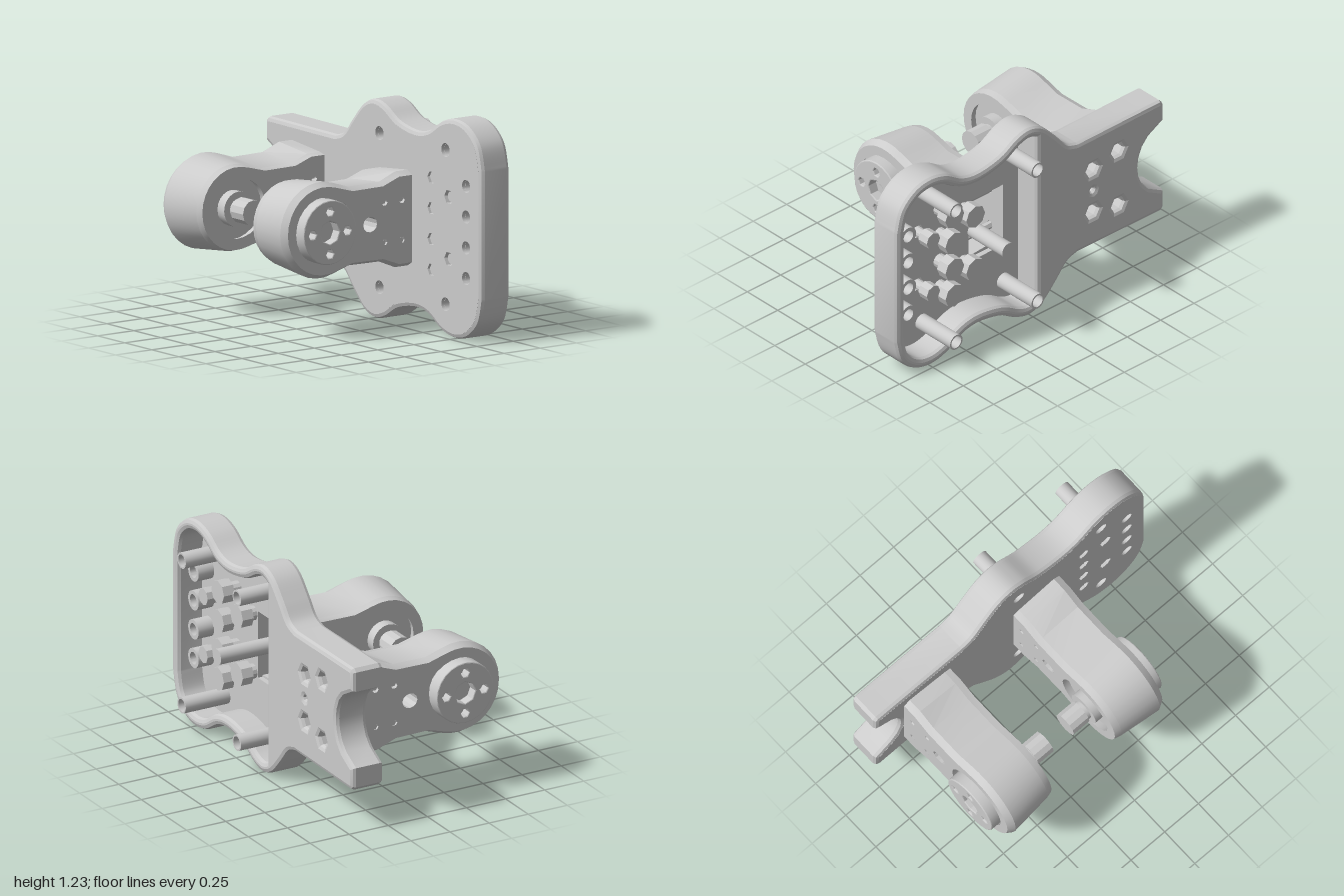
import * as THREE from 'three';
import { toCreasedNormals } from 'three/addons/utils/BufferGeometryUtils.js';

const mat = new THREE.MeshStandardMaterial({ color: 0xcccccc });
const V = (x, y) => new THREE.Vector2(x, y);

function add(parent, name, geo) {
  const m = new THREE.Mesh(toCreasedNormals(geo, 0.36), mat);
  m.name = name;
  parent.add(m);
}

// Polygon path of a circle (or hexagon with n = 6)
function ring(x, y, r, n = 12) {
  const p = [];
  for (let i = 0; i < n; i++) {
    const a = (i / n) * Math.PI * 2;
    p.push(V(x + r * Math.cos(a), y + r * Math.sin(a)));
  }
  return p;
}

const rect = (x0, y0, x1, y1) => [V(x0, y0), V(x1, y0), V(x1, y1), V(x0, y1)];

function extrude(points, holes, depth, bevel = 0) {
  const s = new THREE.Shape(points);
  holes.forEach(h => s.holes.push(new THREE.Path(h)));
  return new THREE.ExtrudeGeometry(s, {
    depth, bevelEnabled: bevel > 0, bevelSize: bevel, bevelThickness: bevel, bevelOffset: -bevel, bevelSegments: 2,
  });
}

// Moves a clockwise outline inwards by d
function inset(pts, d) {
  return pts.map((p, i) => {
    const a = pts[(i + pts.length - 1) % pts.length], b = pts[(i + 1) % pts.length];
    const u = p.clone().sub(a).normalize(), w = b.clone().sub(p).normalize();
    const k = d / (1 + u.dot(w));
    return V(p.x + (u.y + w.y) * k, p.y - (u.x + w.x) * k);
  });
}

// Cylinder along z between z0 and z1
function rodZ(parent, name, x, y, r, z0, z1, n = 20) {
  const g = new THREE.CylinderGeometry(r, r, Math.abs(z1 - z0), n).rotateX(Math.PI / 2);
  add(parent, name, g.translate(x, y, (z0 + z1) / 2));
}

// Cylinder along x between x0 and x1
function rodX(parent, name, y, z, r, x0, x1, n = 20) {
  const g = new THREE.CylinderGeometry(r, r, Math.abs(x1 - x0), n).rotateZ(Math.PI / 2);
  add(parent, name, g.translate((x0 + x1) / 2, y, z));
}

function tubeZ(parent, name, x, y, rIn, rOut, z0, z1) {
  const g = extrude(ring(x, y, rOut, 20), [ring(x, y, rIn, 20)], z1 - z0);
  add(parent, name, g.translate(0, 0, z0));
}

// Wavy plate outline, symmetric about y = 0
function plateOutline() {
  const wave = new THREE.SplineCurve([
    V(-0.36, 0.36), V(-0.28, 0.39), V(-0.2, 0.48), V(-0.1, 0.58), V(0, 0.617), V(0.1, 0.595), V(0.22, 0.53),
    V(0.38, 0.5), V(0.5, 0.52), V(0.62, 0.59), V(0.74, 0.617), V(0.86, 0.59), V(0.96, 0.5), V(1, 0.36),
  ]).getPoints(78);
  const notch = [V(-0.82, 0.06), V(-0.845, 0.12), V(-0.89, 0.17), V(-1, 0.23)];
  const top = [...notch, V(-1, 0.345), V(-0.98, 0.365), ...wave];
  return [V(-0.812, 0), ...top, ...top.map(p => V(p.x, -p.y)).reverse()];
}

const PINS = [[0.06, 0.435], [0.06, -0.435], [0.67, 0.435], [0.67, -0.435]];
const ROWS = [0.26, 0.087, -0.087, -0.26];

function buildPlate(root) {
  const plate = new THREE.Group();
  plate.name = 'basePlate';
  root.add(plate);
  const outline = plateOutline();

  // Body with the open pocket in the back and hexagonal nut recesses
  const pocket = inset(outline, 0.062).filter(p => p.x > -0.06).reverse();
  const nuts = [[-0.47, 0.14], [-0.47, -0.14], [-0.66, 0.18], [-0.66, -0.18]];
  const recesses = nuts.map(([x, y]) => ring(x, y, 0.045, 6));
  recesses.push(ring(-0.47, 0, 0.015, 8));
  add(plate, 'plateBody', extrude(outline, [pocket, ...recesses], 0.15, 0.025).translate(0, 0, -0.455));
  nuts.forEach(([x, y]) => rodZ(plate, 'nut', x, y, 0.025, -0.4, -0.31, 6));

  // Front skin with bolt holes and the window into the hollow arm
  const holes = [rect(0.06, -0.2, 0.32, 0.2)];
  PINS.forEach(([x, y]) => holes.push(ring(x, y, 0.039, 20)));
  ROWS.forEach(y => holes.push(ring(0.54, y, 0.037, 6), ring(0.86, y, 0.037, 20)));
  [0.175, -0.175].forEach(y => holes.push(ring(0.7, y, 0.042, 6)));
  add(plate, 'frontSkin', extrude(inset(outline, 0.027), holes, 0.041).translate(0, 0, -0.32));

  // Hollow and solid locating pins
  PINS.forEach(([x, y]) => tubeZ(plate, 'locatingPin', x, y, 0.037, 0.047, -0.605, -0.3));
  rodZ(plate, 'centrePin', 0.28, 0, 0.046, -0.605, -0.07);

  // Bolts and sleeves in the pocket
  const bolt = (x, y, r, tip) => {
    rodZ(plate, 'boltShank', x, y, r * 0.6, tip + 0.05, -0.295, 12);
    rodZ(plate, 'boltHead', x, y, r, tip, tip + 0.07, 8);
  };
  ROWS.forEach(y => {
    bolt(0.54, y, 0.07, -0.45);
    tubeZ(plate, 'sleeve', 0.86, y, 0.036, 0.058, -0.42, -0.3);
  });
  [0.175, -0.175].forEach(y => {
    bolt(0.365, y, 0.07, -0.43);
    bolt(0.7, y, 0.05, -0.45);
  });
}

const HUB = 0.33;

// Arm side profile in (z, y): round hub, waist and flared foot
function armProfile(cavity) {
  const p = [V(-0.29, 0.27), V(-0.19, 0.27), V(-0.08, 0.225), V(0.13, 0.222)];
  for (let i = 0; i <= 18; i++) {
    const a = THREE.MathUtils.degToRad(110 - (i / 18) * 220);
    p.push(V(HUB + 0.272 * Math.cos(a), 0.272 * Math.sin(a)));
  }
  p.push(V(0.13, -0.222), V(-0.08, -0.225), V(-0.19, -0.27), V(-0.29, -0.27));
  if (cavity) p.push(V(-0.29, -0.19), V(-0.06, -0.19), V(-0.06, 0.19), V(-0.29, 0.19));
  return p;
}

// Narrowing of the arm across its width
function taper(x) {
  if (x < 0.04) return 0.86 + x;
  if (x > 0.3) return 1 - (x - 0.3) * 2.2;
  return 0.9 + ((x - 0.04) / 0.26) * 0.1;
}

function armLayer(x0, x1, holes, cavity) {
  const g = extrude(armProfile(cavity), holes, x1 - x0).rotateY(-Math.PI / 2).translate(x1, 0, 0);
  const p = g.attributes.position;
  for (let i = 0; i < p.count; i++) {
    const s = taper(p.getX(i)), z = p.getZ(i);
    p.setY(i, p.getY(i) * s);
    if (z > HUB) p.setZ(i, HUB + (z - HUB) * s);
  }
  return g;
}

function buildArm(root, name, x, turned) {
  const arm = new THREE.Group();
  arm.name = name;
  arm.position.x = x;
  if (turned) arm.rotation.z = Math.PI;
  root.add(arm);

  // Two cheeks around a middle that is hollow towards the plate
  const screws = [];
  [-0.09, -0.21].forEach(z => [0.122, -0.122].forEach(y => screws.push([z, y])));
  const eye = ring(0.01, 0, 0.048, 12);
  const cheekHoles = [eye, ...screws.map(([z, y]) => ring(z, y, 0.02, 6))];
  add(arm, 'innerCheek', armLayer(0, 0.04, [...cheekHoles, ring(HUB, 0, 0.2, 24)], false));
  add(arm, 'armCore', armLayer(0.04, 0.3, [eye], true));
  add(arm, 'outerCheek', armLayer(0.3, 0.34, [...cheekHoles, ring(HUB, 0, 0.21, 24)], false));
  screws.forEach(([z, y]) => rodX(arm, 'crossScrew', y, z, 0.022, 0.015, 0.325, 6));

  // Outer hub cap with four holes round the axle opening
  const capHoles = [ring(0, 0, 0.065, 8)];
  for (let i = 0; i < 4; i++) {
    const a = (i * Math.PI) / 2;
    capHoles.push(ring(0.12 * Math.cos(a), 0.12 * Math.sin(a), 0.026, 6));
  }
  const cap = extrude(ring(0, 0, 0.182, 24), capHoles, 0.08, 0.006);
  add(arm, 'hubCap', cap.rotateY(-Math.PI / 2).translate(0.392, 0, HUB));
  rodX(arm, 'hubDisc', 0, HUB, 0.165, 0.29, 0.34);

  // Stepped axle on the inner side
  rodX(arm, 'axleCollar', 0, HUB, 0.1, 0.05, -0.022);
  rodX(arm, 'axleNeck', 0, HUB, 0.06, 0, -0.06);
  rodX(arm, 'axleEnd', 0, HUB, 0.073, -0.045, -0.16, 12);
}

export function createModel() {
  const model = new THREE.Group();
  const root = new THREE.Group();
  root.name = 'bracket';
  root.position.y = 0.617;
  model.add(root);
  buildPlate(root);
  buildArm(root, 'leftArm', 0.02, false);
  buildArm(root, 'rightArm', -0.45, true);
  return model;
}
